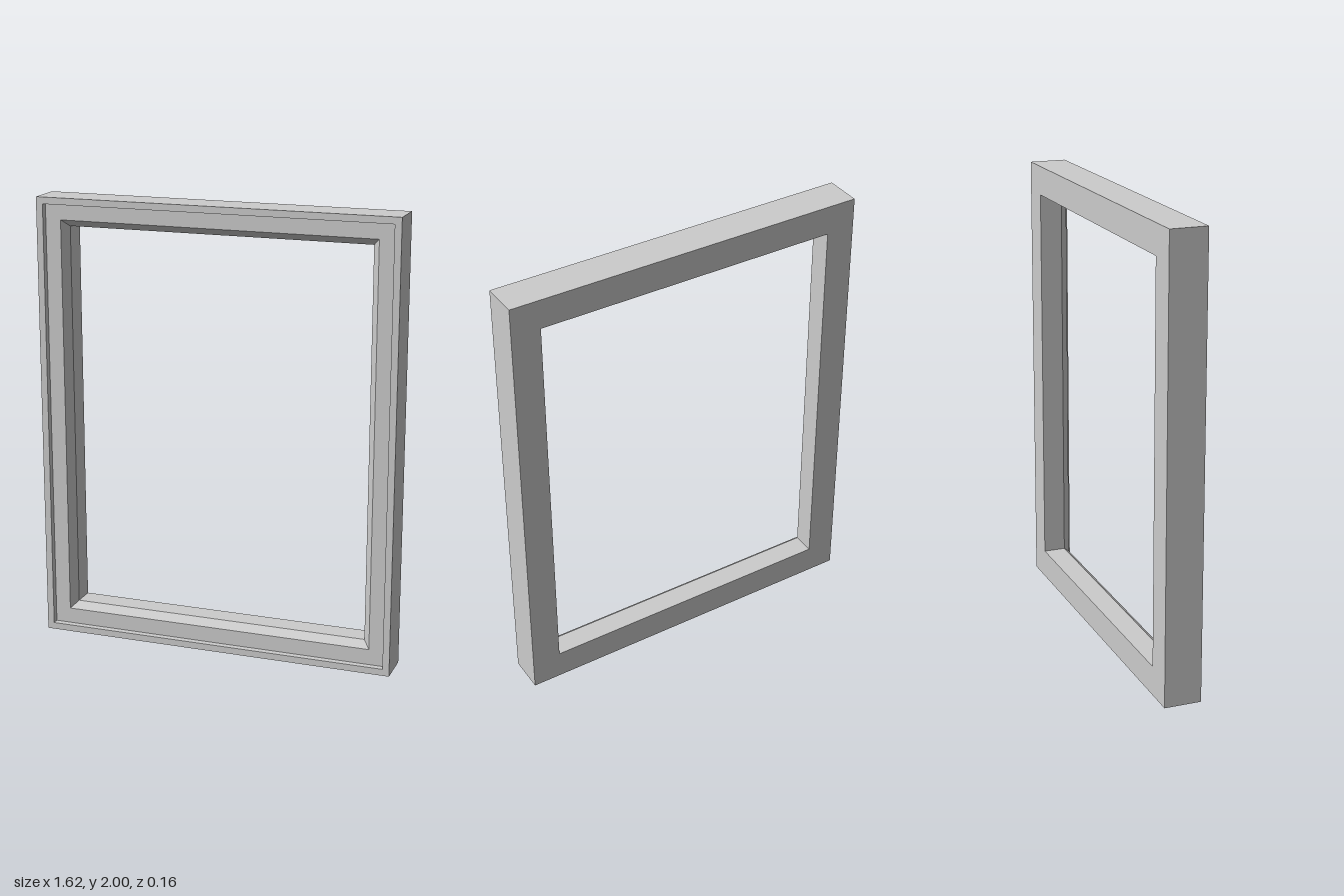
import * as THREE from 'three';

const HALF_WIDTH = 0.81;
const HEIGHT = 2;
const BACK = -0.082;
const FRONT = 0.082;

// Moulding cross-section as [inset from outer edge, z], from outer back round to inner back
const PROFILE = [
  [0, BACK],
  [0, FRONT],
  [0.03, FRONT], // raised outer lip
  [0.03, FRONT - 0.03], // step down to the flat face
  [0.1, FRONT - 0.03],
  [0.13, FRONT - 0.064], // bevel into the opening
  [0.13, BACK],
];

// Sweeps the profile round a rectangle with mitred corners
function mitredFrame(profile, halfWidth, height) {
  const corners = [[1, -1], [1, 1], [-1, 1], [-1, -1]];
  const positions = [];
  const index = [];
  for (const [inset, z] of profile) {
    for (const [sx, sy] of corners) {
      positions.push(sx * (halfWidth - inset), height / 2 + sy * (height / 2 - inset), z);
    }
  }
  for (let i = 0; i < profile.length; i++) {
    const next = (i + 1) % profile.length;
    for (let j = 0; j < 4; j++) {
      const k = (j + 1) % 4;
      const a = i * 4 + j, b = i * 4 + k, c = next * 4 + k, d = next * 4 + j;
      index.push(a, b, c, a, c, d);
    }
  }
  const indexed = new THREE.BufferGeometry();
  indexed.setAttribute('position', new THREE.Float32BufferAttribute(positions, 3));
  indexed.setIndex(index);
  const geometry = indexed.toNonIndexed(); // separate faces keep every edge sharp
  geometry.computeVertexNormals();
  return geometry;
}

export function createModel() {
  const group = new THREE.Group();
  group.name = 'pictureFrame';
  const material = new THREE.MeshStandardMaterial({ color: 0xcccccc, flatShading: true });
  const frame = new THREE.Mesh(mitredFrame(PROFILE, HALF_WIDTH, HEIGHT), material);
  frame.name = 'frameMoulding';
  group.add(frame);
  return group;
}
